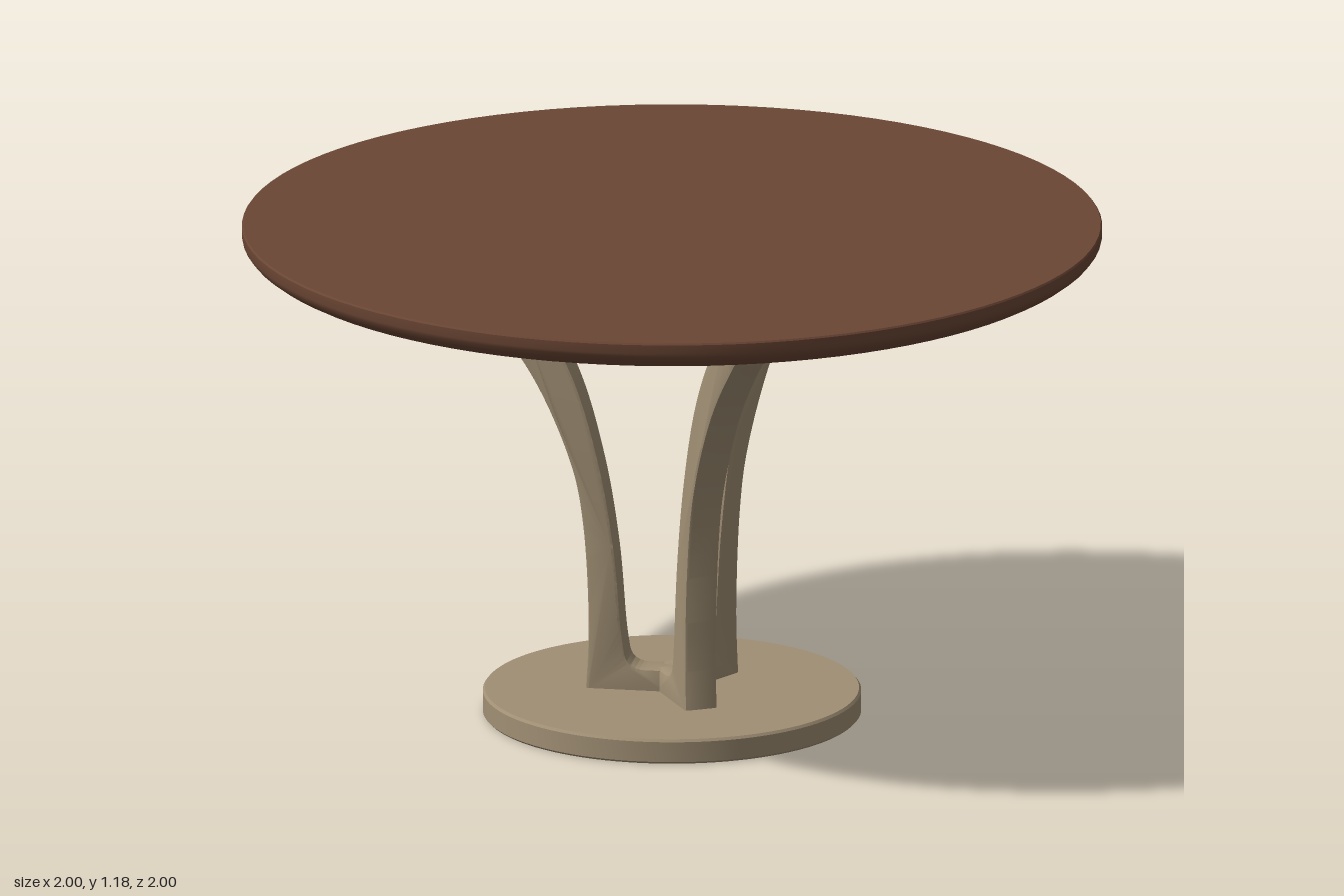
import * as THREE from 'three';
import { toCreasedNormals } from 'three/addons/utils/BufferGeometryUtils.js';

const V = (x, y) => new THREE.Vector2(x, y);

// Round slab turned from a radius/height profile, with sharp edges kept
function turned(name, points, material) {
  const geometry = toCreasedNormals(new THREE.LatheGeometry(points, 96), 0.5);
  const mesh = new THREE.Mesh(geometry, material);
  mesh.name = name;
  return mesh;
}

// Curved leg with its foot and top bar, drawn in the radial plane
function legGeometry(twist) {
  const width = 0.08, bevel = 0.008;
  const shape = new THREE.Shape();
  shape.moveTo(0, 0.05);
  shape.lineTo(0.198, 0.05);
  shape.splineThru([V(0.191, 0.22), V(0.204, 0.45), V(0.238, 0.61), V(0.325, 0.8), V(0.45, 0.965), V(0.59, 1.12)]);
  shape.lineTo(0, 1.12);
  shape.lineTo(0, 1.09);
  shape.lineTo(0.44, 1.09);
  shape.splineThru([V(0.316, 0.96), V(0.225, 0.8), V(0.165, 0.6), V(0.13, 0.4), V(0.113, 0.21), V(0.104, 0.145)]);
  shape.quadraticCurveTo(0.098, 0.112, 0.06, 0.11);
  shape.lineTo(0, 0.11);
  const geometry = new THREE.ExtrudeGeometry(shape, {
    depth: width - 2 * bevel, curveSegments: 32,
    bevelEnabled: true, bevelThickness: bevel, bevelSize: bevel, bevelOffset: -bevel, bevelSegments: 2,
  });
  geometry.translate(0, 0, bevel - width / 2);

  // The rear pair sweeps slightly sideways towards the top
  const p = geometry.attributes.position;
  for (let i = 0; i < p.count; i++) {
    const x = p.getX(i), z = p.getZ(i);
    const a = twist * (p.getY(i) / 1.12) ** 2;
    p.setX(i, x * Math.cos(a) + z * Math.sin(a));
    p.setZ(i, z * Math.cos(a) - x * Math.sin(a));
  }
  return toCreasedNormals(geometry, 0.6);
}

export function createModel() {
  const wood = new THREE.MeshStandardMaterial({ name: 'brown wood', color: 0x6b4634 });
  const tan = new THREE.MeshStandardMaterial({ name: 'tan frame', color: 0xa08f74 });
  const table = new THREE.Group();
  table.name = 'roundTable';

  // Top with a rounded lower edge
  table.add(turned('tableTop', [
    V(0, 1.108), V(0.938, 1.108), V(0.955, 1.113), V(0.972, 1.122), V(0.988, 1.134),
    V(0.998, 1.147), V(1, 1.155), V(1, 1.176), V(0.997, 1.18), V(0, 1.18),
  ], wood));

  // Base disc
  table.add(turned('base', [
    V(0, 0), V(0.435, 0), V(0.44, 0.005), V(0.44, 0.053), V(0.435, 0.059), V(0, 0.059),
  ], tan));

  // Three legs around the centre
  [-1, 0, 1].forEach((side) => {
    const leg = new THREE.Mesh(legGeometry(-side * THREE.MathUtils.degToRad(5)), tan);
    leg.name = ['leftRearLeg', 'mainLeg', 'rightRearLeg'][side + 1];
    leg.rotation.y = side * Math.PI * 2 / 3;
    table.add(leg);
  });
  return table;
}
